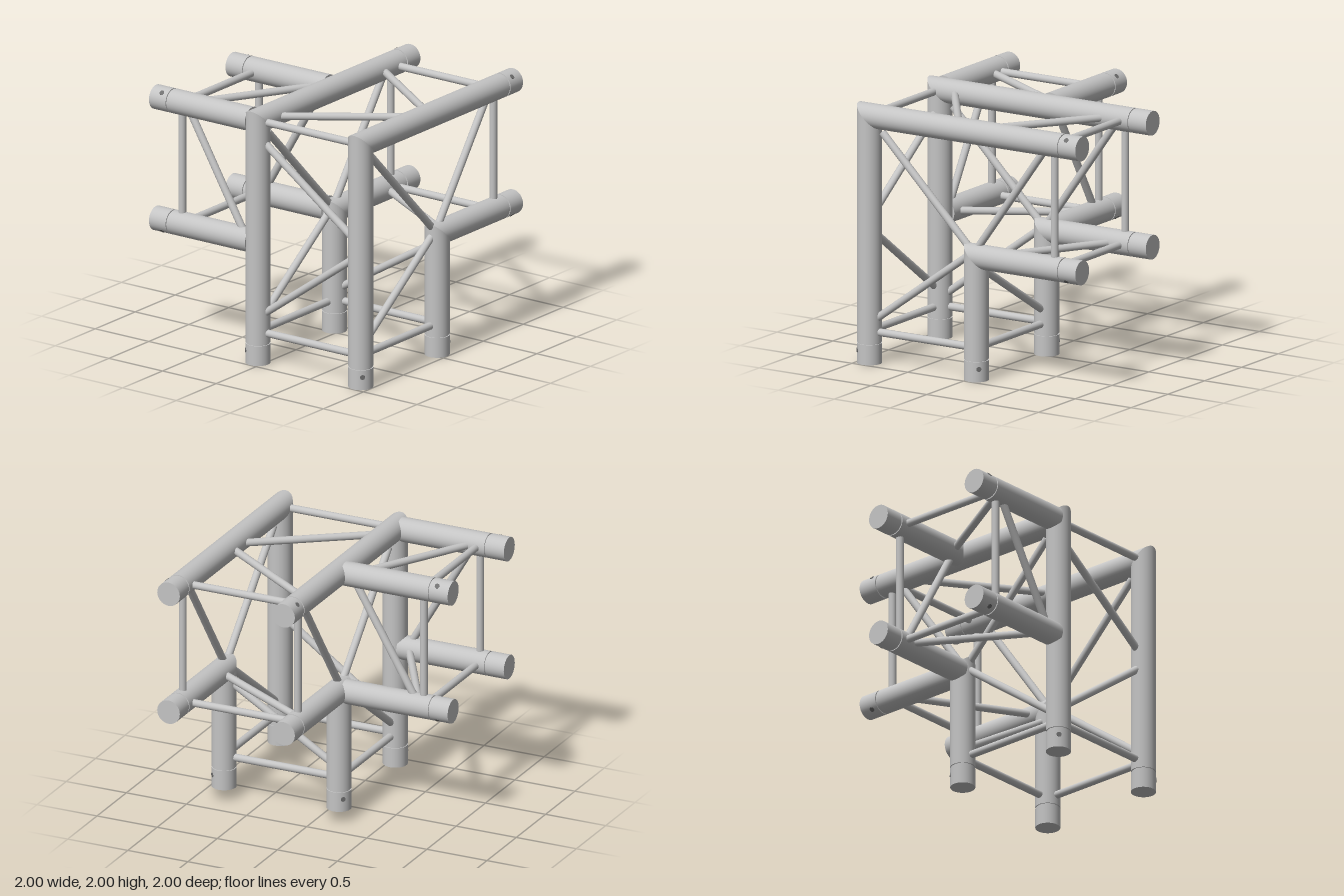
import * as THREE from 'three';

const aluminium = new THREE.MeshStandardMaterial({ color: 0xc4c4c4 });
aluminium.name = 'aluminium';
const holeGrey = new THREE.MeshStandardMaterial({ color: 0x707070 });
holeGrey.name = 'hole grey';

const R = 0.094;           // chord radius
const BRACE_R = 0.029;     // brace radius
const XL = -0.905, XR = 0.052;   // leg positions in x
const ZF = 0.905, ZB = -0.052;   // front and back frame planes
const YT = 1.905, YB = 0.95;     // top and lower chord heights
const V = (x, y, z) => new THREE.Vector3(x, y, z);
const UP = V(0, 1, 0);

// Main tube with groove, end sleeve and pin hole; miter cuts the start at 45 degrees
function chord(name, start, dir, length, perp, outward, miter) {
  const group = new THREE.Group();
  group.name = name;
  const frame = new THREE.Group();
  frame.applyMatrix4(new THREE.Matrix4()
    .makeBasis(perp, dir, perp.clone().cross(dir)).setPosition(start));
  const segment = (part, from, to, radius) => {
    const g = new THREE.CylinderGeometry(radius, radius, to - from, 40);
    g.translate(0, (from + to) / 2, 0);
    const m = new THREE.Mesh(g, aluminium);
    m.name = part;
    frame.add(m);
    return g;
  };
  const body = segment('chordTube', 0, length - 0.165, R);
  if (miter) {
    const p = body.attributes.position;
    for (let i = 0; i < p.count; i++) {
      if (p.getY(i) < 0.001) p.setY(i, -p.getX(i));
    }
  }
  segment('sleeveGroove', length - 0.166, length - 0.154, R - 0.008);
  segment('endSleeve', length - 0.155, length, R);
  group.add(frame);

  const out = outward.clone().normalize();
  const hole = new THREE.Mesh(new THREE.CylinderGeometry(0.019, 0.019, 0.009, 20), holeGrey);
  hole.name = 'pinHole';
  hole.position.copy(start).addScaledVector(dir, length - 0.1).addScaledVector(out, R - 0.0025);
  hole.quaternion.setFromUnitVectors(UP, out);
  group.add(hole);
  return group;
}

// Thin round bar between two surface points, pushed a little into the chords
function brace(a, b, extend = 0.03) {
  const d = b.clone().sub(a);
  const length = d.length() + 2 * extend;
  const m = new THREE.Mesh(new THREE.CylinderGeometry(BRACE_R, BRACE_R, length, 20), aluminium);
  m.name = 'brace';
  m.position.copy(a).add(b).multiplyScalar(0.5);
  m.quaternion.setFromUnitVectors(UP, d.normalize());
  return m;
}

export function createModel() {
  const model = new THREE.Group();
  model.name = 'trussCorner';
  const bars = new THREE.Group();
  bars.name = 'braces';
  model.add(bars);
  const bar = (a, b, extend) => bars.add(brace(V(...a), V(...b), extend));

  // Legs and sideways chords, joined by miters
  for (const z of [ZF, ZB]) {
    const sz = z === ZF ? 1 : -1;
    for (const [x, y, s] of [[XL, YT, 1], [XR, YB, -1]]) {
      model.add(chord('leg', V(x, y, z), V(0, -1, 0), y, V(-1, 0, 0), V(-s, 0, sz), true));
      model.add(chord('sideChord', V(x, y, z), V(1, 0, 0), 1 - x, V(0, 1, 0), V(0, s, sz), true));
    }
  }

  // Rear chords butt against the back frame
  for (const [x, sx] of [[XL, -1], [XR, 1]]) {
    for (const [y, sy] of [[YT, 1], [YB, -1]]) {
      model.add(chord('rearChord', V(x, y, -0.105), V(0, 0, -1), 0.895, V(1, 0, 0), V(sx, sy, 0), false));
    }
  }

  // Braces shared by the front and back frames
  for (const z of [ZF, ZB]) {
    bar([-0.785, 1.785, z], [-0.025, 1.025, z], 0.005);
    bar([-0.81, 0.37, z], [-0.04, 0.93, z]);
    bar([-0.81, 0.245, z], [-0.04, 0.245, z]);
    bar([0.635, 1.81, z], [0.085, 1.045, z]);
    bar([0.755, 1.81, z], [0.755, 1.045, z]);
  }

  // Cross bars between the front and back frames
  for (const [x, y] of [[XL, YT], [XL, 0.245], [XR, 0.245], [0.755, YT], [0.755, YB]]) {
    bar([x, y, 0.81], [x, y, 0.04]);
  }

  // Diagonals between the front and back frames
  bar([-0.71, YT, 0.04], [-0.165, YT, 0.81]);
  bar([0.03, YT, 0.81], [0.57, YT, 0.04]);
  bar([0.18, YB, 0.81], [0.635, YB, 0.04]);
  bar([XL, 1.17, 0.81], [XL, 1.72, 0.04]);
  bar([XL, 0.97, 0.81], [XL, 0.42, 0.04]);
  bar([XR, 0.83, 0.81], [XR, 0.37, 0.04]);

  // Rear arm: uprights, cross bars and diagonals
  for (const x of [XL, XR]) bar([x, 1.81, -0.758], [x, 1.045, -0.758]);
  for (const y of [YT, YB]) bar([-0.81, y, -0.762], [-0.04, y, -0.762]);
  bar([-0.81, YT, -0.67], [-0.04, YT, -0.22]);
  bar([-0.81, YB, -0.22], [-0.04, YB, -0.67]);
  bar([XL, 1.81, -0.66], [XL, 1.045, -0.21]);
  bar([XR, 1.81, -0.21], [XR, 1.045, -0.66]);

  return model;
}
